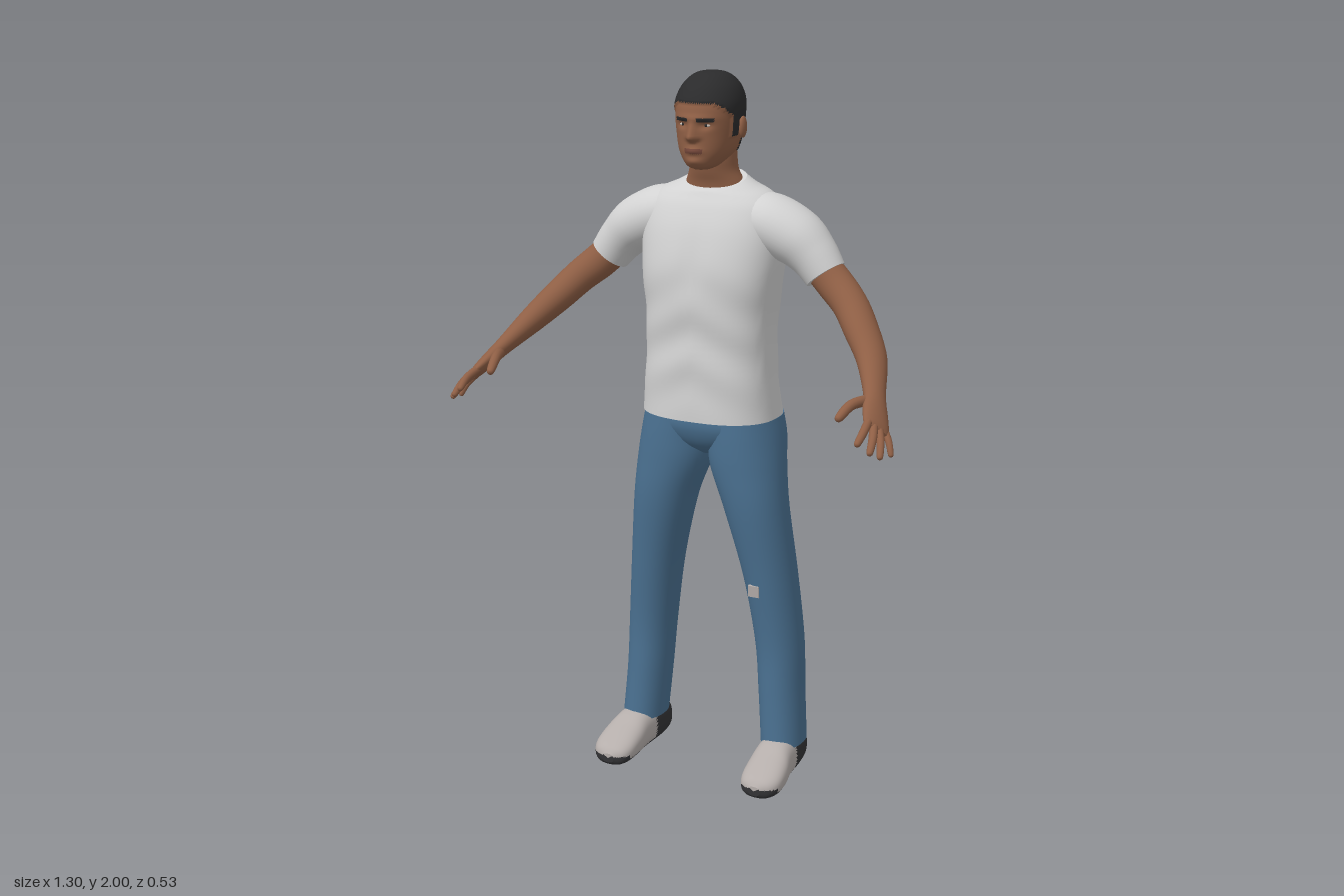
import * as THREE from 'three';

const V = (x, y, z) => new THREE.Vector3(x, y, z);
const mat = (name, color, opts = {}) => Object.assign(new THREE.MeshStandardMaterial({ color, ...opts }), { name });

// Catmull-Rom sampling of rows of numbers
function sample(keys, steps) {
  const last = keys.length - 1, out = [];
  for (let k = 0; k <= steps; k++) {
    const f = (k / steps) * last, i = Math.min(Math.floor(f), last - 1), t = f - i;
    const [a, b, c, d] = [i - 1, i, i + 1, i + 2].map(n => keys[Math.max(0, Math.min(last, n))]);
    out.push(b.map((p1, n) => {
      const p0 = a[n], p2 = c[n], p3 = d[n];
      return p1 + 0.5 * t * (p2 - p0 + t * (2 * p0 - 5 * p1 + 4 * p2 - p3 + t * (3 * (p1 - p2) + p3 - p0)));
    }));
  }
  return out;
}

// Skin over rings { c, u, v, e }: centre, two half axes and superellipse power.
// sculpt(p) moves a point, paint(p) returns the material index of a face.
function loft(rings, n, { sculpt, paint } = {}) {
  const pts = [], faces = [], power = (t, e) => Math.sign(t) * Math.abs(t) ** (2 / e);
  const addRing = r => {
    for (let j = 0; j < n; j++) {
      const a = (j / n) * Math.PI * 2;
      const p = r.c.clone().addScaledVector(r.u, power(Math.cos(a), r.e)).addScaledVector(r.v, power(Math.sin(a), r.e));
      if (sculpt) sculpt(p);
      pts.push(p);
    }
  };
  rings.forEach(addRing);
  for (let i = 0; i < rings.length - 1; i++) for (let j = 0; j < n; j++) {
    const a = i * n + j, b = i * n + (j + 1) % n;
    faces.push([a, a + n, b], [b, a + n, b + n]);
  }
  // End caps use their own vertices so that rims stay sharp
  [rings[0], rings[rings.length - 1]].forEach((r, end) => {
    const s = pts.length;
    addRing(r);
    const mid = V(0, 0, 0);
    for (let j = 0; j < n; j++) mid.addScaledVector(pts[s + j], 1 / n);
    pts.push(mid);
    for (let j = 0; j < n; j++) {
      const a = s + j, b = s + (j + 1) % n;
      faces.push(end ? [s + n, b, a] : [s + n, a, b]);
    }
  });
  const geo = new THREE.BufferGeometry().setFromPoints(pts);
  const buckets = [];
  for (const f of faces) {
    const m = paint ? paint(V(0, 0, 0).add(pts[f[0]]).add(pts[f[1]]).add(pts[f[2]]).divideScalar(3)) : 0;
    (buckets[m] ??= []).push(...f);
  }
  geo.setIndex(buckets.flat());
  let start = 0;
  if (paint) buckets.forEach((b, m) => { geo.addGroup(start, b.length, m); start += b.length; });
  geo.computeVertexNormals();
  return geo;
}

// Upright body: rows of y, centre x, half width, front z, back z, power, forward tilt
const upright = (keys, steps, n, opts) => loft(sample(keys, steps).map(([y, cx, hx, zf, zb, e, tilt = 0]) => (
  { c: V(cx, y, (zf + zb) / 2), u: V(hx, 0, 0), v: V(0, -tilt, (zf - zb) / 2), e })), n, opts);

// Limb: rows of x, y, z, thickness, width; width lies along "wide"
function limb(keys, wide, steps, n) {
  const rows = sample(keys, steps), at = i => V(...rows[Math.max(0, Math.min(steps, i))].slice(0, 3));
  return loft(rows.map((r, i) => {
    const w = at(i + 1).sub(at(i - 1)).normalize(), u = w.clone().cross(wide).normalize();
    return { c: at(i), v: u.clone().cross(w).multiplyScalar(r[4]), u: u.multiplyScalar(r[3]), e: 2 };
  }), n);
}

function mirrored(geo) {
  const g = geo.clone().scale(-1, 1, 1), ix = g.index.array;
  for (let i = 0; i < ix.length; i += 3) [ix[i], ix[i + 1]] = [ix[i + 1], ix[i]];
  return g;
}

const bell = (d, w) => Math.exp(-((d / w) ** 2));

export function createModel() {
  const model = new THREE.Group();
  model.name = 'standingMan';
  const skin = mat('skin', 0x8f5f45), black = mat('hairBlack', 0x2b2b2c), cotton = mat('shirtCotton', 0xd2d2d2);
  const denim = mat('denim', 0x4a7090), canvas = mat('shoeCanvas', 0xb5aeab), rubber = mat('shoeRubber', 0x333335);
  const eyeWhite = mat('eyeWhite', 0xc9c0b8), lip = mat('lips', 0x74473a);
  const add = (name, geo, m) => {
    const mesh = new THREE.Mesh(geo, m);
    mesh.name = name;
    model.add(mesh);
    return mesh;
  };
  const pair = (name, geo, m) => {
    add('left' + name, geo, m);
    add('right' + name, mirrored(geo), m);
  };

  // Head: hair, brows and lips are faces of the same surface
  const hairline = z => z > -0.01 ? 1.922 : z > -0.06 ? 1.922 + (z + 0.01) * 0.7
    : z > -0.096 ? 1.832 : z > -0.13 ? 1.875 : 1.785;
  const sculptFace = p => {
    if (p.y > hairline(p.z)) p.add(V(p.x, (p.y - 1.88) * 0.8, p.z + 0.1).multiplyScalar(0.045));
    if (p.z < -0.06) return;
    const ax = Math.abs(p.x), y = p.y;
    const nose = y > 1.832 ? Math.max(0, 1 - (y - 1.832) / 0.05) : Math.max(0, 1 - (1.832 - y) / 0.013);
    p.z += 0.028 * nose * bell(p.x, 0.009 + 0.007 * nose)
      - 0.009 * bell(ax - 0.033, 0.017) * bell(y - 1.866, 0.01)
      + 0.005 * bell(y - 1.884, 0.008) * bell(ax, 0.05)
      + 0.007 * bell(y - 1.797, 0.009) * bell(ax, 0.022)
      + 0.006 * bell(y - 1.77, 0.01) * bell(ax, 0.022);
  };
  const paintHead = p => {
    const ax = Math.abs(p.x);
    if (p.y > hairline(p.z) + 0.001) return 1;
    if (p.z > -0.06 && ax > 0.013 && ax < 0.056 && Math.abs(p.y - 1.881) < 0.0045) return 1;
    return p.z > -0.03 && ax < 0.025 && Math.abs(p.y - 1.797) < 0.0065 ? 2 : 0;
  };
  add('head', upright([
    [1.745, 0, 0.022, -0.022, -0.08, 2], [1.755, 0, 0.042, -0.002, -0.12, 2.1], [1.775, 0, 0.06, 0.005, -0.16, 2.2],
    [1.8, 0, 0.073, 0.008, -0.18, 2.2], [1.84, 0, 0.081, 0.01, -0.195, 2.2], [1.88, 0, 0.084, 0.014, -0.203, 2.2],
    [1.92, 0, 0.085, 0.008, -0.205, 2.1], [1.955, 0, 0.074, -0.012, -0.193, 2], [1.979, 0, 0.054, -0.04, -0.168, 2],
    [1.991, 0, 0.032, -0.068, -0.14, 2], [1.995, 0, 0.004, -0.1, -0.108, 2],
  ], 80, 96, { sculpt: sculptFace, paint: paintHead }), [skin, black, lip]);
  const ball = (x, y, z, rx, ry, rz) => new THREE.SphereGeometry(1, 20, 14).scale(rx, ry, rz).translate(x, y, z);
  pair('Ear', ball(0.088, 1.853, -0.113, 0.01, 0.029, 0.017).rotateY(0), skin);
  pair('Eye', ball(0.033, 1.866, -0.009, 0.013, 0.0055, 0.009), eyeWhite);
  pair('Pupil', ball(0.033, 1.866, -0.004, 0.0055, 0.0052, 0.005), black);

  // Neck
  add('neck', upright([
    [1.65, 0, 0.1, -0.07, -0.2, 2], [1.7, 0, 0.083, -0.064, -0.195, 2], [1.735, 0, 0.067, -0.052, -0.188, 2],
    [1.77, 0, 0.063, -0.045, -0.187, 2], [1.81, 0, 0.06, -0.05, -0.185, 2],
  ], 16, 40), skin);

  // Shirt body, with chest and spine relief and soft folds
  add('shirtBody', upright([
    [1.06, 0, 0.196, 0.026, -0.264, 2.5, 0], [1.1, 0, 0.192, 0.026, -0.256, 2.5, 0], [1.2, 0, 0.184, 0.026, -0.244, 2.5, 0],
    [1.32, 0, 0.182, 0.026, -0.25, 2.5, 0], [1.42, 0, 0.191, 0.03, -0.26, 2.5, 0], [1.5, 0, 0.2, 0.024, -0.265, 2.4, 0],
    [1.58, 0, 0.203, 0.004, -0.26, 2.3, 0], [1.64, 0, 0.194, -0.022, -0.247, 2.2, 0], [1.675, 0, 0.163, -0.042, -0.23, 2.1, 0.004],
    [1.695, 0, 0.118, -0.052, -0.214, 2, 0.01], [1.71, 0, 0.087, -0.062, -0.2, 2, 0.02],
  ], 60, 64, {
    sculpt: p => {
      const fold = bell(p.y - 1.28, 0.16) * 0.004 * Math.sin(p.y * 42 + Math.abs(p.x) * 22);
      if (p.z > -0.05) p.z += fold - 0.006 * bell(p.x, 0.03) * bell(p.y - 1.5, 0.08);
      if (p.z < -0.15) p.z += fold + 0.02 * bell(p.x, 0.045) * bell(p.y - 1.42, 0.2);
    },
  }), cotton);
  pair('Sleeve', limb([
    [0.1, 1.615, -0.135, 0.068, 0.085], [0.165, 1.598, -0.135, 0.08, 0.094], [0.24, 1.563, -0.137, 0.077, 0.088],
    [0.29, 1.52, -0.135, 0.066, 0.073], [0.328, 1.472, -0.13, 0.058, 0.06],
  ], V(0, 0, 1), 28, 32), cotton);

  // Arm and palm in one sweep, then fingers and thumb
  const across = V(-0.45, 0.35, 0.82).normalize();
  pair('Arm', limb([
    [0.28, 1.525, -0.135, 0.048, 0.048], [0.35, 1.457, -0.128, 0.05, 0.05], [0.41, 1.405, -0.103, 0.047, 0.05],
    [0.46, 1.35, -0.062, 0.044, 0.05], [0.512, 1.29, -0.008, 0.037, 0.045], [0.558, 1.224, 0.082, 0.024, 0.033],
    [0.58, 1.19, 0.13, 0.02, 0.039], [0.597, 1.165, 0.165, 0.015, 0.041], [0.602, 1.157, 0.178, 0.009, 0.036],
  ], across, 48, 28), skin);
  const finger = (name, a, b, c, r) => pair(name, limb([
    [...a, r, r], [...b, r * 0.95, r * 0.95], [...c.map((t, i) => b[i] + (t - b[i]) * 0.85), r * 0.75, r * 0.75], [...c, r * 0.15, r * 0.15],
  ], across, 15, 12), skin);
  finger('IndexFinger', [0.582, 1.178, 0.18], [0.588, 1.163, 0.228], [0.586, 1.138, 0.27], 0.0115);
  finger('MiddleFinger', [0.592, 1.17, 0.168], [0.608, 1.147, 0.214], [0.616, 1.114, 0.256], 0.0115);
  finger('RingFinger', [0.6, 1.162, 0.155], [0.622, 1.136, 0.197], [0.636, 1.1, 0.234], 0.011);
  finger('LittleFinger', [0.606, 1.155, 0.138], [0.63, 1.127, 0.16], [0.645, 1.092, 0.178], 0.0095);
  finger('Thumb', [0.555, 1.213, 0.105], [0.53, 1.212, 0.168], [0.514, 1.184, 0.226], 0.0145);

  // Jeans: hips, legs and a small knee patch
  add('hips', upright([
    [0.945, 0, 0.03, -0.07, -0.19, 2], [0.98, 0, 0.14, -0.025, -0.225, 2.2],
    [1.03, 0, 0.198, -0.003, -0.25, 2.4], [1.08, 0, 0.18, -0.005, -0.245, 2.4],
  ], 16, 40), denim);
  pair('Leg', upright([
    [0.095, 0.225, 0.061, -0.05, -0.212, 2.2], [0.25, 0.213, 0.063, -0.058, -0.222, 2.1], [0.4, 0.203, 0.067, -0.06, -0.225, 2.1],
    [0.6, 0.178, 0.074, -0.038, -0.217, 2.1], [0.8, 0.141, 0.09, -0.01, -0.207, 2.1], [0.92, 0.113, 0.106, -0.003, -0.225, 2.1],
    [1.0, 0.104, 0.105, -0.003, -0.25, 2.1], [1.06, 0.1, 0.097, -0.006, -0.25, 2.1],
  ], 42, 36), denim);
  add('kneePatch', new THREE.BoxGeometry(0.032, 0.034, 0.008).rotateX(0.1).translate(0.166, 0.57, -0.042), canvas);

  // Shoes: rows of z, centre x, half width, bottom y, top y
  const shoeRings = sample([
    [-0.214, 0.222, 0.025, 0.02, 0.095], [-0.204, 0.222, 0.045, 0.006, 0.11], [-0.15, 0.224, 0.054, 0, 0.122],
    [-0.06, 0.229, 0.056, 0, 0.12], [0, 0.234, 0.062, 0, 0.096], [0.05, 0.236, 0.06, 0, 0.074],
    [0.08, 0.235, 0.045, 0.003, 0.058], [0.094, 0.234, 0.018, 0.014, 0.042],
  ], 56).map(([z, cx, hx, lo, hi]) => ({ c: V(cx, (lo + hi) / 2, z), u: V(-hx, 0, 0), v: V(0, (hi - lo) / 2, 0), e: 2.5 }));
  pair('Shoe', loft(shoeRings, 48, {
    paint: p => p.z < -0.1 || p.y < (p.z > 0.06 ? 0.034 : 0.022) ? 1 : 0,
  }), [canvas, rubber]);

  return model;
}
